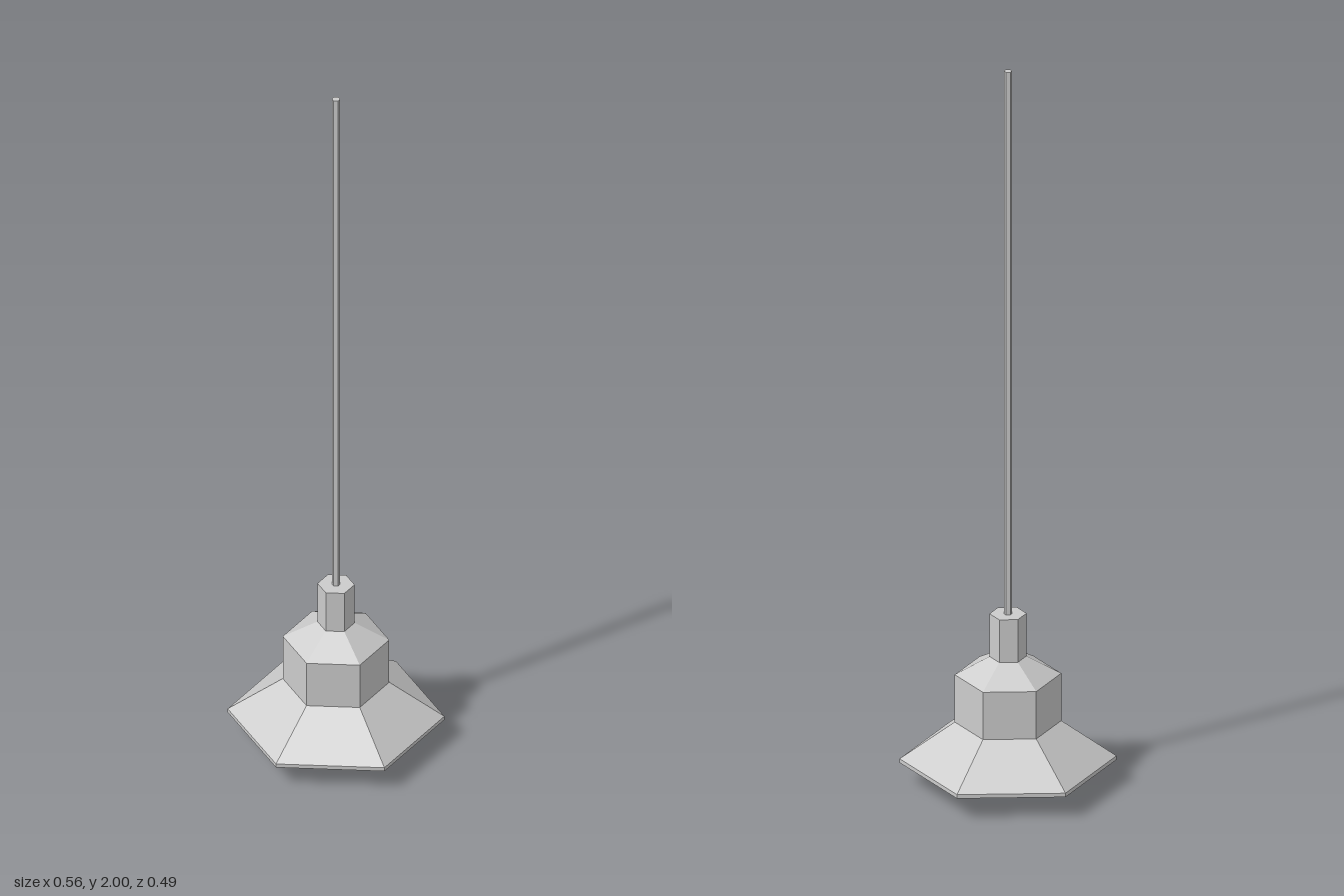
import * as THREE from 'three';

export function createModel() {
  const group = new THREE.Group();
  group.name = 'pendantLamp';
  const metal = new THREE.MeshStandardMaterial({ color: 0xcccccc });
  metal.name = 'lightGrey';

  const add = (name, geometry) => {
    const flat = geometry.index ? geometry.toNonIndexed() : geometry;
    flat.computeVertexNormals();
    const mesh = new THREE.Mesh(flat, metal);
    mesh.name = name;
    group.add(mesh);
    return mesh;
  };

  // Faceted turned part with corners on the x axis
  const turned = (name, profile, sides = 6) => add(name, new THREE.LatheGeometry(
    profile.map(([r, y]) => new THREE.Vector2(r, y)), sides, Math.PI / 2));

  // Hollow hexagonal shade: inner wall first, then rim and outer wall up to the cap
  turned('shade', [
    [0, 0.295], [0.128, 0.295], [0.128, 0.165], [0.274, 0.06],
    [0.281, 0.06], [0.281, 0.071], [0.138, 0.172], [0.138, 0.305],
    [0.048, 0.355], [0.048, 0.475], [0, 0.475],
  ]);

  // Hanging cord
  turned('cord', [[0, 0.47], [0.011, 0.47], [0.011, 2], [0, 2]]);

  // Bulb and its socket
  turned('bulb', [
    [0, 0.038], [0.045, 0.045], [0.07, 0.075], [0.082, 0.12],
    [0.066, 0.18], [0.04, 0.22],
  ], 8);
  turned('socket', [[0, 0.215], [0.045, 0.215], [0.045, 0.297]]);

  // Two crossed wire guards reaching up into the shade
  const points = [[-0.11, 0.16]];
  for (let i = 0; i <= 12; i++) {
    const a = Math.PI + (i / 12) * Math.PI;
    points.push([0.11 * Math.cos(a), 0.083 + 0.078 * Math.sin(a)]);
  }
  points.push([0.11, 0.16]);
  const path = new THREE.CatmullRomCurve3(points.map(([x, y]) => new THREE.Vector3(x, y, 0)));
  for (let i = 0; i < 2; i++) {
    const wire = add('guardWire', new THREE.TubeGeometry(path, 24, 0.005, 5));
    wire.rotation.y = i * Math.PI / 2;
  }

  return group;
}
